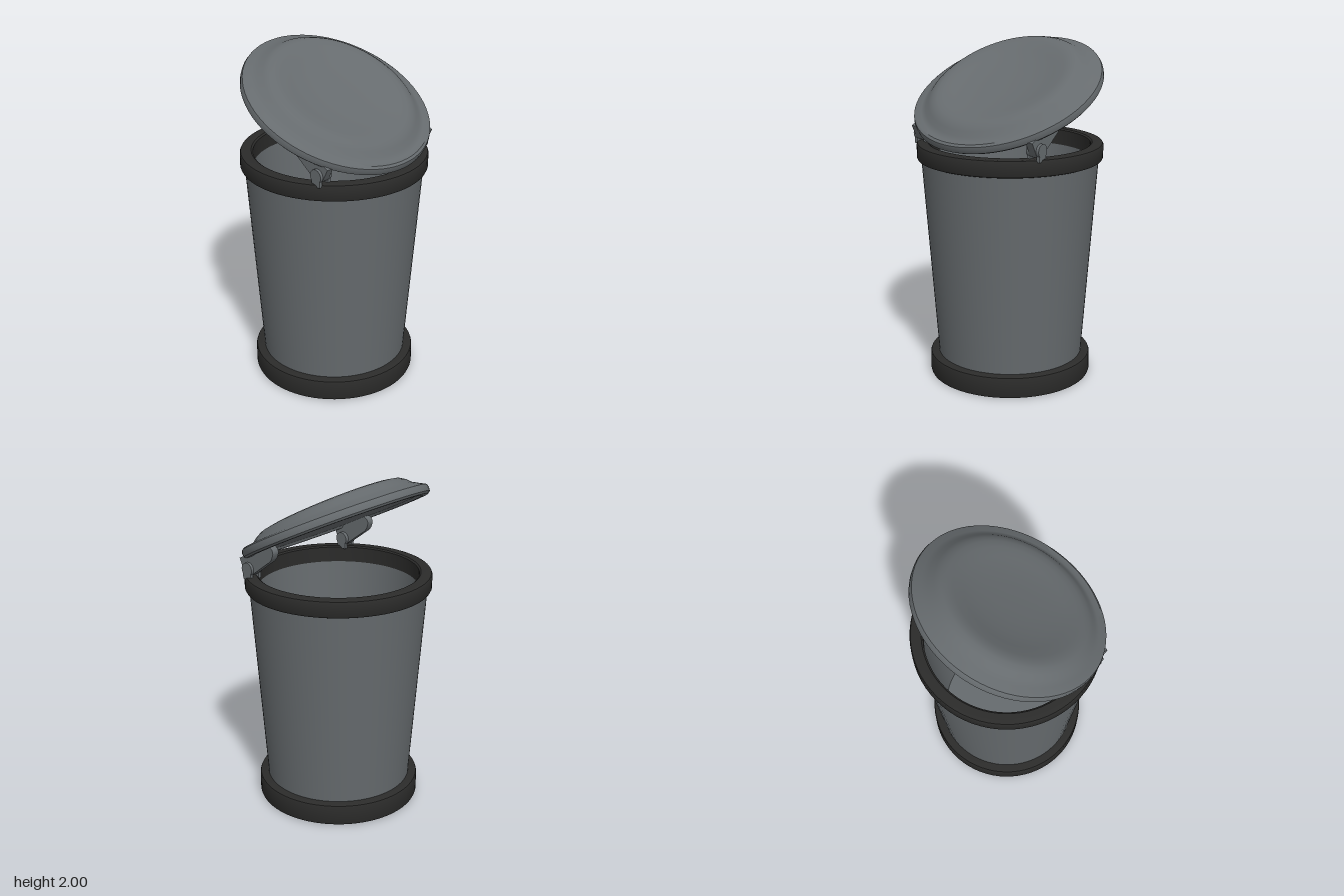
import * as THREE from 'three';
import { toCreasedNormals } from 'three/addons/utils/BufferGeometryUtils.js';

const grey = new THREE.MeshStandardMaterial({ color: 0x666b6e });
grey.name = 'grey plastic';
const black = new THREE.MeshStandardMaterial({ color: 0x2b2b2a });
black.name = 'black rubber';

function addMesh(parent, name, geometry, material) {
  const mesh = new THREE.Mesh(geometry, material);
  mesh.name = name;
  parent.add(mesh);
  return mesh;
}

// Turned part from [radius, height] pairs, running bottom to top on the outside
function turned(profile, crease = 0.6) {
  const points = profile.map(([r, y]) => new THREE.Vector2(r, y));
  return toCreasedNormals(new THREE.LatheGeometry(points, 72), crease);
}

function createLid() {
  const lid = new THREE.Group();
  lid.name = 'lid';

  // Dished cover: flat recessed underside, thin edge, raised ring, sunken middle
  const cover = new THREE.LatheGeometry([
    [0, 0.015], [0.5, 0.015], [0.515, 0], [0.55, 0], [0.563, 0.012], [0.565, 0.035],
    [0.56, 0.052], [0.545, 0.06], [0.515, 0.065], [0.485, 0.08], [0.46, 0.102],
    [0.43, 0.119], [0.4, 0.125], [0.36, 0.123], [0.3, 0.112], [0.22, 0.101],
    [0.12, 0.096], [0, 0.095],
  ].map(([r, y]) => new THREE.Vector2(r, y)), 72);
  // The dome is a little taller towards the back
  const pos = cover.attributes.position;
  for (let i = 0; i < pos.count; i++) {
    const y = pos.getY(i);
    if (y > 0.062) pos.setY(i, y * (1 - 0.17 * pos.getZ(i) / 0.45));
  }
  addMesh(lid, 'lidCover', toCreasedNormals(cover, 0.7), grey);

  // Rounded hinge arms under the lid
  const side = new THREE.Shape();
  side.moveTo(0.4, 0.018);
  side.lineTo(0.14, 0.018);
  side.quadraticCurveTo(0.1, -0.02, 0.14, -0.05);
  side.quadraticCurveTo(0.16, -0.07, 0.2, -0.073);
  side.lineTo(0.34, -0.098);
  side.quadraticCurveTo(0.4, -0.1, 0.4, -0.05);
  const armGeometry = toCreasedNormals(
    new THREE.ExtrudeGeometry(side, { depth: 0.045, bevelEnabled: false, curveSegments: 8 }), 0.6);
  for (const s of [-1, 1]) {
    const arm = addMesh(lid, s > 0 ? 'leftHingeArm' : 'rightHingeArm', armGeometry, grey);
    arm.rotation.y = -Math.PI / 2;
    arm.position.x = s * 0.4075 + 0.0225;
  }

  lid.position.set(0, 1.68, 0.008);
  lid.rotation.x = 0.466;
  return lid;
}

export function createModel() {
  const model = new THREE.Group();
  model.name = 'pedalBin';

  // Base ring with a solid underside
  addMesh(model, 'base', turned([
    [0, 0], [0.47, 0], [0.48, 0.004], [0.484, 0.014], [0.484, 0.115],
    [0.48, 0.125], [0.47, 0.13], [0.4, 0.13],
  ]), black);

  // Tapered bucket: outer wall, lip, inner wall and floor
  addMesh(model, 'bucket', turned([
    [0.432, 0.12], [0.521, 1.34], [0.472, 1.34], [0.4, 0.14], [0, 0.14],
  ]), grey);

  // Top rim
  addMesh(model, 'rim', turned([
    [0.47, 1.32], [0.53, 1.32], [0.54, 1.324], [0.545, 1.334], [0.545, 1.406],
    [0.54, 1.416], [0.53, 1.42], [0.48, 1.42], [0.47, 1.412], [0.47, 1.32],
  ]), black);

  // Hinge pins and the posts that carry them
  const pinGeometry = new THREE.CylinderGeometry(0.04, 0.04, 0.085, 24);
  for (const s of [-1, 1]) {
    const hinge = new THREE.Group();
    hinge.name = s > 0 ? 'leftHinge' : 'rightHinge';
    const pin = addMesh(hinge, 'hingePin', pinGeometry, grey);
    pin.rotation.z = Math.PI / 2;
    pin.position.set(s * 0.405, 1.465, 0.3);
    for (const x of [0.373, 0.437]) {
      const post = addMesh(hinge, 'hingePost', new THREE.BoxGeometry(0.02, 0.075, 0.06), grey);
      post.position.set(s * x, 1.4425, 0.3);
    }
    model.add(hinge);
  }

  model.add(createLid());
  return model;
}
